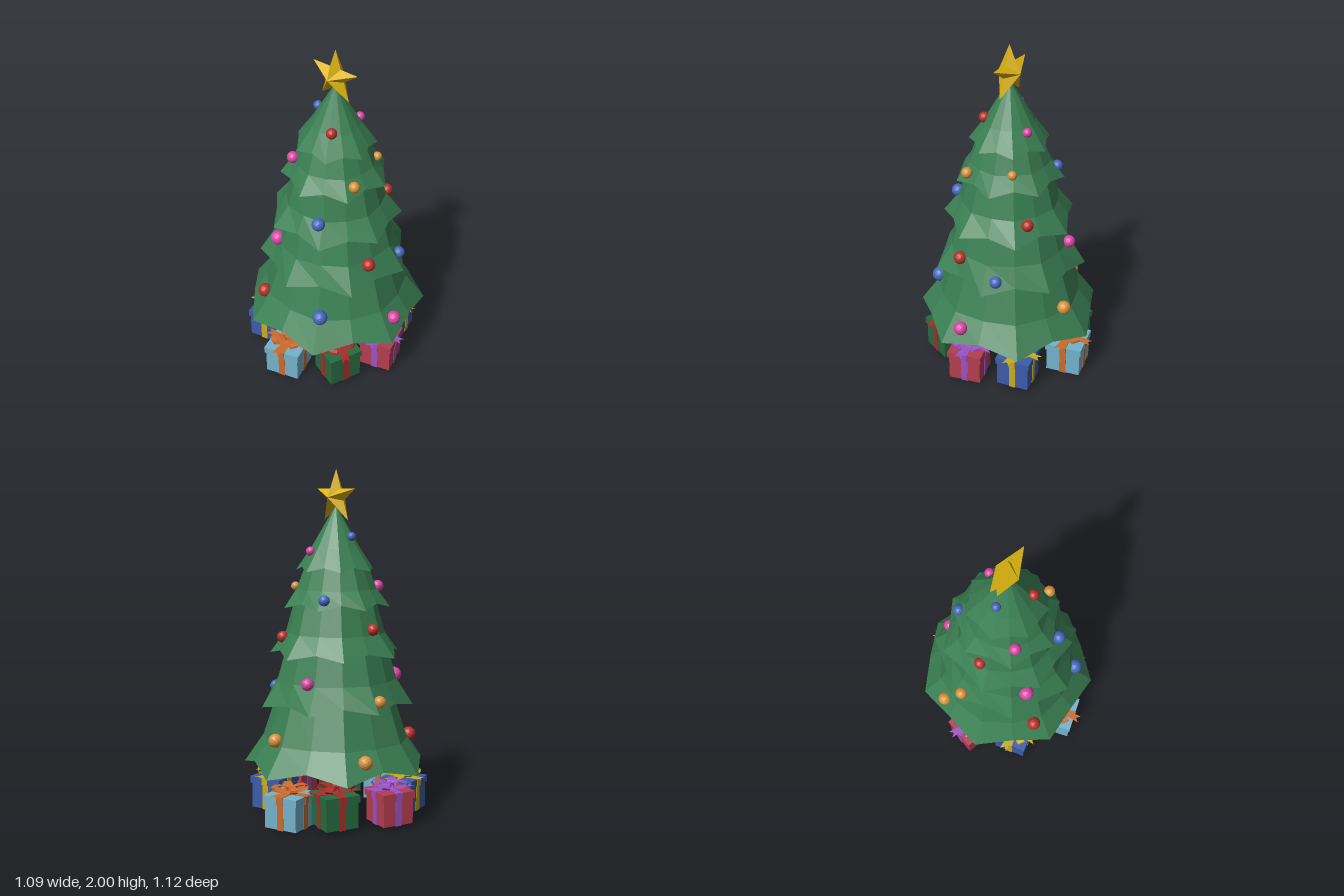
import * as THREE from 'three';

const mat = (color, extra = {}) => new THREE.MeshStandardMaterial({ color, flatShading: true, ...extra });
const COLORS = {
  leaf: 0x3a7f53, trunk: 0x5a3826, gold: 0xdcb40f, red: 0xb5302a, orange: 0xd9923c,
  blue: 0x4468bd, pink: 0xd945a4,
};

function add(parent, name, geometry, material, x = 0, y = 0, z = 0) {
  const mesh = new THREE.Mesh(geometry, material);
  mesh.name = name;
  mesh.position.set(x, y, z);
  parent.add(mesh);
  return mesh;
}

// Hollow, flared skirt of branches with seven points: profile runs from hem to top,
// and every second column is pulled in, its hem corner lifted
function tierGeometry(profile, notch, lift) {
  const n = profile.length;
  const g = new THREE.LatheGeometry(profile.map(p => new THREE.Vector2(...p)), 14, Math.PI);
  const pos = g.attributes.position;
  for (let i = 1; i < 14; i += 2) {
    for (let j = 0; j < n; j++) {
      const k = i * n + j, s = j === 0 ? notch : 0.965;
      pos.setXYZ(k, pos.getX(k) * s, pos.getY(k) + (j === 0 ? lift : 0), pos.getZ(k) * s);
    }
  }
  g.computeVertexNormals();
  return g;
}

// Faceted five-pointed star, raised to a peak on both faces
function starGeometry(outer, inner, depth) {
  const v = [];
  const corner = i => {
    const a = Math.PI / 2 + i * Math.PI / 5, r = i % 2 ? inner : outer;
    return [Math.cos(a) * r, Math.sin(a) * r, 0];
  };
  for (let i = 0; i < 10; i++) {
    const p = corner(i), q = corner(i + 1);
    v.push(0, 0, depth, ...p, ...q, 0, 0, -depth, ...q, ...p);
  }
  const g = new THREE.BufferGeometry();
  g.setAttribute('position', new THREE.Float32BufferAttribute(v, 3));
  g.computeVertexNormals();
  return g;
}

// Flat ribbon end with a notched tip, lying along +x
function tailGeometry(length, width) {
  const w = width / 2, s = new THREE.Shape();
  s.moveTo(0, -w * 0.5);
  s.lineTo(length, -w);
  s.lineTo(length - w, 0);
  s.lineTo(length, w);
  s.lineTo(0, w * 0.5);
  return new THREE.ShapeGeometry(s).rotateX(-Math.PI / 2);
}

// Wrapped box of width w with lid, crossed ribbons and a bow
function createGift(paper, ribbon, w) {
  const gift = new THREE.Group();
  gift.name = 'gift';
  const paperMat = mat(paper), ribbonMat = mat(ribbon, { side: THREE.DoubleSide });
  const lid = w + 0.016, h = 0.147, lidH = 0.04, band = 0.04, e = 0.006;
  const top = h + lidH;
  add(gift, 'box', new THREE.BoxGeometry(w, h, w), paperMat, 0, h / 2, 0);
  add(gift, 'lid', new THREE.BoxGeometry(lid, lidH, lid), paperMat, 0, h + lidH / 2, 0);
  for (const turn of [0, Math.PI / 2]) {
    add(gift, 'ribbon', new THREE.BoxGeometry(band, h + e / 2, w + e), ribbonMat, 0, h / 2 - e / 4, 0).rotation.y = turn;
    add(gift, 'lidRibbon', new THREE.BoxGeometry(band, lidH + e, lid + e), ribbonMat, 0, h + lidH / 2, 0).rotation.y = turn;
  }
  const bow = new THREE.Group();
  bow.name = 'bow';
  bow.position.y = top + 0.003;
  gift.add(bow);
  add(bow, 'knot', new THREE.BoxGeometry(0.036, 0.032, 0.036), ribbonMat, 0, 0.019, 0);
  const loop = new THREE.CylinderGeometry(1, 1, 0.045, 10, 1, true).rotateX(Math.PI / 2).scale(0.048, 0.02, 1);
  const tail = tailGeometry(0.15, 0.045);
  for (let i = 0; i < 4; i++) {
    const arm = new THREE.Group();
    arm.name = 'bowArm';
    arm.rotation.y = Math.PI / 4 + i * Math.PI / 2;
    add(arm, 'bowLoop', loop, ribbonMat, 0.056, 0.027, 0).rotation.z = 0.12;
    add(arm, 'bowTail', tail, ribbonMat, 0, 0.008, 0).rotation.y = Math.PI / 5;
    bow.add(arm);
  }
  return gift;
}

export function createModel() {
  const model = new THREE.Group();
  model.name = 'decoratedTree';

  // Trunk
  add(model, 'trunk', new THREE.CylinderGeometry(0.1, 0.105, 0.4, 6), mat(COLORS.trunk), 0.002, 0.22, -0.006)
    .rotation.y = -Math.PI / 4;

  // Branch tiers: hem-to-top profile, notch depth, hem lift
  const leafMat = mat(COLORS.leaf, { side: THREE.DoubleSide });
  const tiers = [
    [[[0.545, 0.287], [0.43, 0.455], [0.335, 0.74], [0, 0.741]], 0.905, 0.053],
    [[[0.447, 0.652], [0.352, 0.8], [0.285, 1.03], [0, 1.031]], 0.87, 0.032],
    [[[0.388, 0.942], [0.292, 1.07], [0.23, 1.29], [0, 1.291]], 0.87, 0.032],
    [[[0.312, 1.216], [0.235, 1.32], [0.165, 1.5], [0, 1.501]], 0.87, 0.03],
    [[[0.233, 1.424], [0.145, 1.55], [0.004, 1.79]], 0.88, 0.024],
  ];
  tiers.forEach((t, i) => {
    add(model, 'branchTier', tierGeometry(...t), leafMat, 0.005, 0, -0.01).rotation.y = i % 2 ? Math.PI / 7 : 0;
  });

  // Star
  add(model, 'star', starGeometry(0.16, 0.062, 0.07), mat(COLORS.gold), 0.005, 1.838, -0.008);

  // Baubles: x, y, z, radius
  const baubles = {
    red: [[0.077, 1.563, 0.112, 0.031], [-0.277, 1.103, 0, 0.034], [0.192, 1.044, -0.255, 0.034],
      [0.343, 0.782, 0.103, 0.038], [-0.238, 0.444, 0.358, 0.041]],
    blue: [[-0.11, 1.619, 0, 0.026], [-0.132, 1.273, -0.24, 0.032], [0.117, 1.064, 0.276, 0.038],
      [0.365, 0.724, -0.157, 0.035], [0.202, 0.484, 0.37, 0.044]],
    pink: [[0.058, 1.536, -0.16, 0.027], [-0.163, 1.334, 0.16, 0.034], [-0.108, 0.815, -0.347, 0.036],
      [-0.198, 0.81, 0.268, 0.043], [0.472, 0.394, 0.017, 0.04]],
    orange: [[0.242, 1.286, 0.117, 0.032], [0.192, 1.33, -0.153, 0.026], [-0.393, 0.715, -0.065, 0.036],
      [0.067, 0.482, -0.43, 0.04], [-0.408, 0.395, -0.195, 0.041]],
  };
  const ball = new THREE.IcosahedronGeometry(1, 2);
  for (const [color, list] of Object.entries(baubles)) {
    const m = mat(COLORS[color]);
    for (const [x, y, z, r] of list) add(model, 'bauble', ball, m, x, y, z).scale.setScalar(r);
  }

  // Ring of gifts: wrap, x, y, z, turn
  const wraps = {
    sky: [0x74b3cb, 0xcb6b2c, 0.204], green: [0x276b41, 0xa82c28, 0.196],
    rose: [0xb53d50, 0x9c52c4, 0.19], navy: [0x3c5cab, 0xc9ad18, 0.19],
  };
  const gifts = [
    ['sky', -0.015, 0.006, 0.405, 0.28], ['green', 0.253, 0.025, 0.27, -0.36],
    ['rose', 0.385, 0.025, 0.02, 0.28], ['navy', 0.275, 0.025, -0.252, 0.22],
    ['sky', -0.03, 0.006, -0.41, 0.25], ['green', -0.25, 0.025, -0.275, -0.33],
    ['rose', -0.412, 0.025, 0, -0.28], ['navy', -0.29, 0.025, 0.255, 0.22],
  ];
  for (const [wrap, x, y, z, turn] of gifts) {
    const gift = createGift(...wraps[wrap]);
    gift.position.set(x, y, z);
    gift.rotation.y = turn;
    model.add(gift);
  }
  return model;
}
